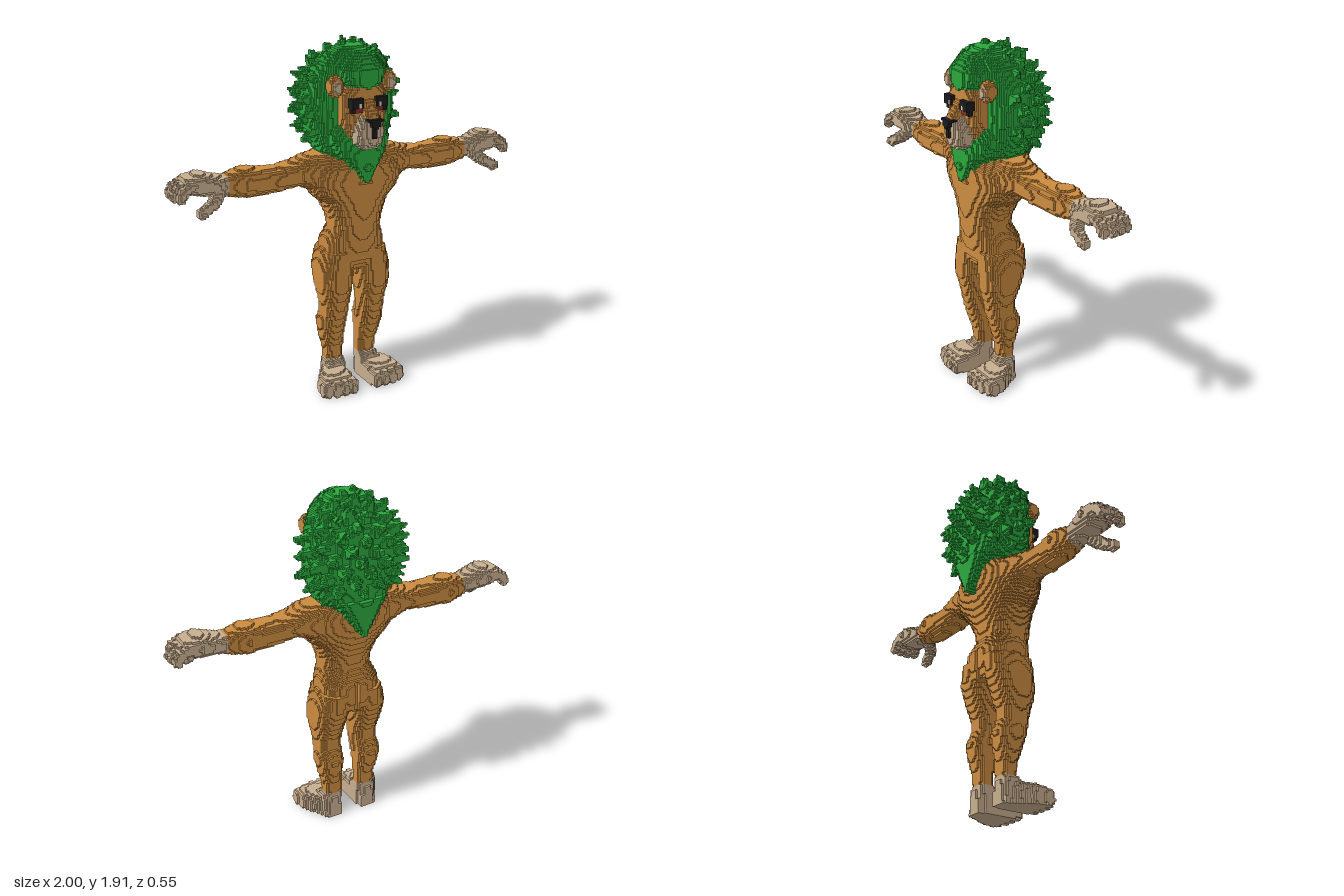
import * as THREE from 'three';

// Voxel grid: cell size, cell counts and lowest corner
const S = 0.0125, N = [160, 154, 44], MIN = [-1, 0, -0.275];

const mat = (name, color) => Object.assign(new THREE.MeshStandardMaterial({ color, side: THREE.FrontSide }), { name });

// Solid through stacked rounded sections along an axis: rows are [t, uMin, uMax, vMin, vMax]
function loft(axis, rows, p = 2.4) {
  const [u, v] = [0, 1, 2].filter((a) => a !== axis);
  return (q) => {
    const t = q[axis];
    for (let i = 0; i + 1 < rows.length; i++) {
      const a = rows[i], b = rows[i + 1];
      if (t < a[0] || t > b[0]) continue;
      const k = (t - a[0]) / (b[0] - a[0]);
      const [, u0, u1, v0, v1] = a.map((n, j) => n + (b[j] - n) * k);
      const du = Math.abs((2 * q[u] - u0 - u1) / (u1 - u0));
      const dv = Math.abs((2 * q[v] - v0 - v1) / (v1 - v0));
      return du ** p + dv ** p <= 1;
    }
    return false;
  };
}
// Upright loft centred on x = 0: rows are [y, halfWidth, zBack, zFront]
const column = (rows, p) => loft(1, rows.map(([y, w, b, f]) => [y, -w, w, b, f]), p);
const ball = (c, r) => (q) => q.reduce((s, n, i) => s + ((n - c[i]) / r[i]) ** 2, 0) <= 1;
const block = (lo, hi) => (q) => q.every((n, i) => n >= lo[i] && n <= hi[i]);
// Rounded rod from a to b with radii ra and rb
function rod(a, b, ra, rb = ra) {
  const d = b.map((n, i) => n - a[i]);
  const len2 = d[0] ** 2 + d[1] ** 2 + d[2] ** 2;
  return ([x, y, z]) => {
    const px = x - a[0], py = y - a[1], pz = z - a[2];
    const t = Math.min(1, Math.max(0, (px * d[0] + py * d[1] + pz * d[2]) / len2));
    const r = ra + (rb - ra) * t;
    return (px - d[0] * t) ** 2 + (py - d[1] * t) ** 2 + (pz - d[2] * t) ** 2 <= r * r;
  };
}
const any = (...tests) => (q) => tests.some((f) => f(q));

// Pointed tufts spread evenly over the mane, leaving the face clear
function tufts() {
  const list = [], count = 120;
  for (let i = 0; i < count; i++) {
    const dy = 1 - (2 * (i + 0.5)) / count, r = Math.sqrt(1 - dy * dy), a = i * 2.39996;
    let dx = Math.cos(a) * r, dz = Math.sin(a) * r;
    if (dy < -0.6 || (dz > 0.35 && dy < 0.75)) continue;
    if (dz < 0) {
      const square = r / Math.cbrt(Math.abs(dx) ** 3 + Math.abs(dz) ** 3);
      dx *= square;
      dz *= square;
    }
    const at = (sx, sy, sz) => [dx * sx, 1.58 + dy * sy, -0.035 + dz * sz];
    list.push(rod(at(0.2, 0.26, 0.15), at(0.3, 0.335, 0.235), 0.05, 0.008));
  }
  return any(...list);
}

// Turns the exposed cell faces of one part into a geometry
function cellGeometry(cells, filled) {
  const pos = [], index = [];
  for (const c of cells) {
    for (let a = 0; a < 3; a++) for (const s of [0, 1]) {
      const n = [...c];
      n[a] += s ? 1 : -1;
      if (filled(n)) continue;
      const u = (a + 1) % 3, v = (a + 2) % 3, k = pos.length / 3;
      for (const [i, j] of [[0, 0], [1, 0], [1, 1], [0, 1]]) {
        const o = [...c];
        o[a] += s; o[u] += i; o[v] += j;
        pos.push(...o.map((m, w) => MIN[w] + m * S));
      }
      index.push(...(s ? [k, k + 1, k + 2, k, k + 2, k + 3] : [k, k + 2, k + 1, k, k + 3, k + 2]));
    }
  }
  const g = new THREE.BufferGeometry();
  g.setAttribute('position', new THREE.Float32BufferAttribute(pos, 3));
  g.setIndex(index);
  g.computeVertexNormals();
  return g;
}

export function createModel() {
  const fur = mat('orange fur', 0xcb8b40), pale = mat('pale fur', 0xc8ae8e), green = mat('green mane', 0x2aa63c);
  const black = mat('black', 0x1b1b1b), red = mat('dark red', 0x8a2a2a), white = mat('eye white', 0xe6cdbf);
  const group = new THREE.Group();
  const grid = new Uint8Array(N[0] * N[1] * N[2]);
  const cellId = ([i, j, k]) => (i * N[1] + j) * N[2] + k;
  const filled = (c) => c.every((n, a) => n >= 0 && n < N[a]) && grid[cellId(c)] > 0;
  const parts = [];

  // Claims the free cells inside a part; side 1 is left, -1 is right, 0 is both
  function add(name, material, test, side = 0) {
    const cells = [];
    for (let i = 0; i < N[0]; i++) for (let j = 0; j < N[1]; j++) for (let k = 0; k < N[2]; k++) {
      const c = [i, j, k], id = cellId(c);
      if (grid[id]) continue;
      const q = c.map((n, a) => MIN[a] + (n + 0.5) * S);
      if (side) {
        q[0] *= side;
        if (q[0] < 0) continue;
      }
      if (test(q)) {
        grid[id] = 1;
        cells.push(c);
      }
    }
    parts.push({ name, material, cells });
  }
  const pair = (name, material, test) => {
    add('left' + name, material, test, 1);
    add('right' + name, material, test, -1);
  };

  // Face details
  pair('EyeWhite', white, block([0.05, 1.598, 0.15], [0.068, 1.622, 0.213]));
  pair('Iris', red, block([0.036, 1.574, 0.14], [0.076, 1.6, 0.201]));
  pair('EyeLid', black, any(block([0.036, 1.6, 0.13], [0.1, 1.647, 0.213]), block([0.076, 1.574, 0.13], [0.1, 1.61, 0.201])));
  add('nose', black, ([x, y, z]) => (z > 0.2 && z < 0.275 && y > 1.5 && y < 1.551 && Math.abs(x) < 0.01 + (y - 1.5) * 0.6)
    || (z > 0.2 && z < 0.262 && y > 1.45 && y <= 1.5 && Math.abs(x) < 0.0125));
  add('noseBridge', fur, column([[1.535, 0.045, 0.1, 0.262], [1.58, 0.042, 0.1, 0.24], [1.64, 0.035, 0.1, 0.2]]));
  add('muzzle', pale, column([[1.385, 0.045, 0.1, 0.225], [1.42, 0.072, 0.1, 0.245], [1.48, 0.082, 0.1, 0.25],
    [1.54, 0.06, 0.1, 0.25], [1.56, 0.05, 0.1, 0.23]]));
  pair('InnerEar', pale, ball([0.153, 1.7, 0.145], [0.022, 0.034, 0.02]));
  pair('Ear', fur, ball([0.153, 1.705, 0.12], [0.04, 0.053, 0.04]));
  add('face', fur, column([[1.39, 0.05, 0, 0.16], [1.42, 0.09, 0, 0.17], [1.5, 0.12, 0, 0.185], [1.58, 0.13, 0, 0.192],
    [1.66, 0.125, 0, 0.192], [1.7, 0.1, 0, 0.185]], 3));

  // Mane: core, forelock, beard, back point and tufts
  add('mane', green, any(
    column([[1.3, 0.13, -0.18, 0.13], [1.36, 0.19, -0.195, 0.13], [1.45, 0.23, -0.205, 0.12], [1.55, 0.248, -0.215, 0.12],
      [1.65, 0.24, -0.21, 0.12], [1.72, 0.225, -0.2, 0.125], [1.8, 0.185, -0.15, 0.14], [1.85, 0.14, -0.1, 0.12],
      [1.89, 0.06, -0.04, 0.06]], 2.4),
    column([[1.67, 0.06, 0, 0.19], [1.72, 0.11, 0, 0.2], [1.78, 0.13, 0, 0.2], [1.84, 0.09, 0, 0.165], [1.87, 0.04, 0, 0.13]]),
    column([[1.2, 0.015, 0.1, 0.19], [1.28, 0.07, 0.08, 0.195], [1.35, 0.13, 0.04, 0.19], [1.42, 0.165, 0, 0.17], [1.5, 0.16, 0, 0.13]]),
    column([[1.18, 0.015, -0.21, -0.12], [1.27, 0.08, -0.215, -0.1], [1.37, 0.15, -0.22, -0.05]]),
    tufts()));

  // Torso with a cleft at the seat
  const trunk = column([[0.69, 0.1, -0.12, 0.09], [0.76, 0.175, -0.138, 0.125], [0.85, 0.165, -0.135, 0.14],
    [0.93, 0.135, -0.09, 0.152], [1, 0.145, -0.1, 0.157], [1.08, 0.18, -0.125, 0.162], [1.13, 0.235, -0.14, 0.165],
    [1.2, 0.28, -0.16, 0.17], [1.27, 0.27, -0.165, 0.16], [1.32, 0.22, -0.155, 0.1], [1.35, 0.15, -0.14, 0.06]]);
  add('torso', fur, (q) => trunk(q) && !(Math.abs(q[0]) < 0.0125 && q[1] < 0.86 && q[2] < -0.11));

  // Arms and hands
  pair('Arm', fur, loft(0, [[0.13, 1.12, 1.345, -0.14, 0.12], [0.25, 1.16, 1.335, -0.12, 0.1], [0.32, 1.19, 1.31, -0.11, 0.08],
    [0.42, 1.175, 1.295, -0.1, 0.075], [0.5, 1.165, 1.3, -0.097, 0.062], [0.6, 1.165, 1.315, -0.108, 0.06],
    [0.705, 1.185, 1.29, -0.08, 0.037]]));
  const fingers = [-0.08, -0.037, 0.006, 0.047].flatMap((z, i) => {
    const x = [0.965, 0.976, 0.974, 0.955][i];
    return [rod([0.89, 1.28, z], [x - 0.015, 1.255, z], 0.024), rod([x - 0.015, 1.255, z], [x, 1.222, z], 0.024)];
  });
  pair('Hand', pale, any(
    loft(0, [[0.7, 1.188, 1.29, -0.08, 0.037], [0.76, 1.205, 1.3, -0.09, 0.06], [0.84, 1.21, 1.328, -0.108, 0.065],
      [0.92, 1.235, 1.31, -0.1, 0.065]]),
    rod([0.75, 1.225, 0.03], [0.8, 1.18, 0.07], 0.03), rod([0.8, 1.18, 0.07], [0.865, 1.143, 0.083], 0.026), ...fingers));

  // Legs and feet
  pair('Leg', fur, loft(1, [[0.155, 0.05, 0.15, -0.062, 0.02], [0.22, 0.05, 0.157, -0.067, 0.025], [0.3, 0.05, 0.177, -0.087, 0.05],
    [0.37, 0.043, 0.187, -0.097, 0.07], [0.44, 0.043, 0.177, -0.068, 0.09], [0.5, 0.038, 0.182, -0.063, 0.1],
    [0.6, 0.025, 0.202, -0.1, 0.125], [0.7, 0.008, 0.205, -0.132, 0.125], [0.8, 0, 0.18, -0.135, 0.125]]));
  const toes = [0.077, 0.125, 0.173, 0.221].map((x, i) => {
    const z = [0.17, 0.172, 0.165, 0.152][i];
    return rod([x, 0.028, z], [x, 0.06, z - 0.006], 0.029);
  });
  pair('Foot', pale, any(
    loft(1, [[0, 0.055, 0.175, -0.075, 0.1], [0.1, 0.05, 0.165, -0.072, 0.07], [0.156, 0.048, 0.152, -0.066, 0.025]], 2.6),
    loft(2, [[-0.07, 0.06, 0.14, -0.03, 0.08], [0, 0.05, 0.19, -0.04, 0.125], [0.08, 0.047, 0.24, -0.04, 0.115],
      [0.15, 0.047, 0.25, -0.03, 0.1]], 3), ...toes));

  for (const { name, material, cells } of parts) {
    const mesh = new THREE.Mesh(cellGeometry(cells, filled), material);
    mesh.name = name;
    group.add(mesh);
  }
  return group;
}
